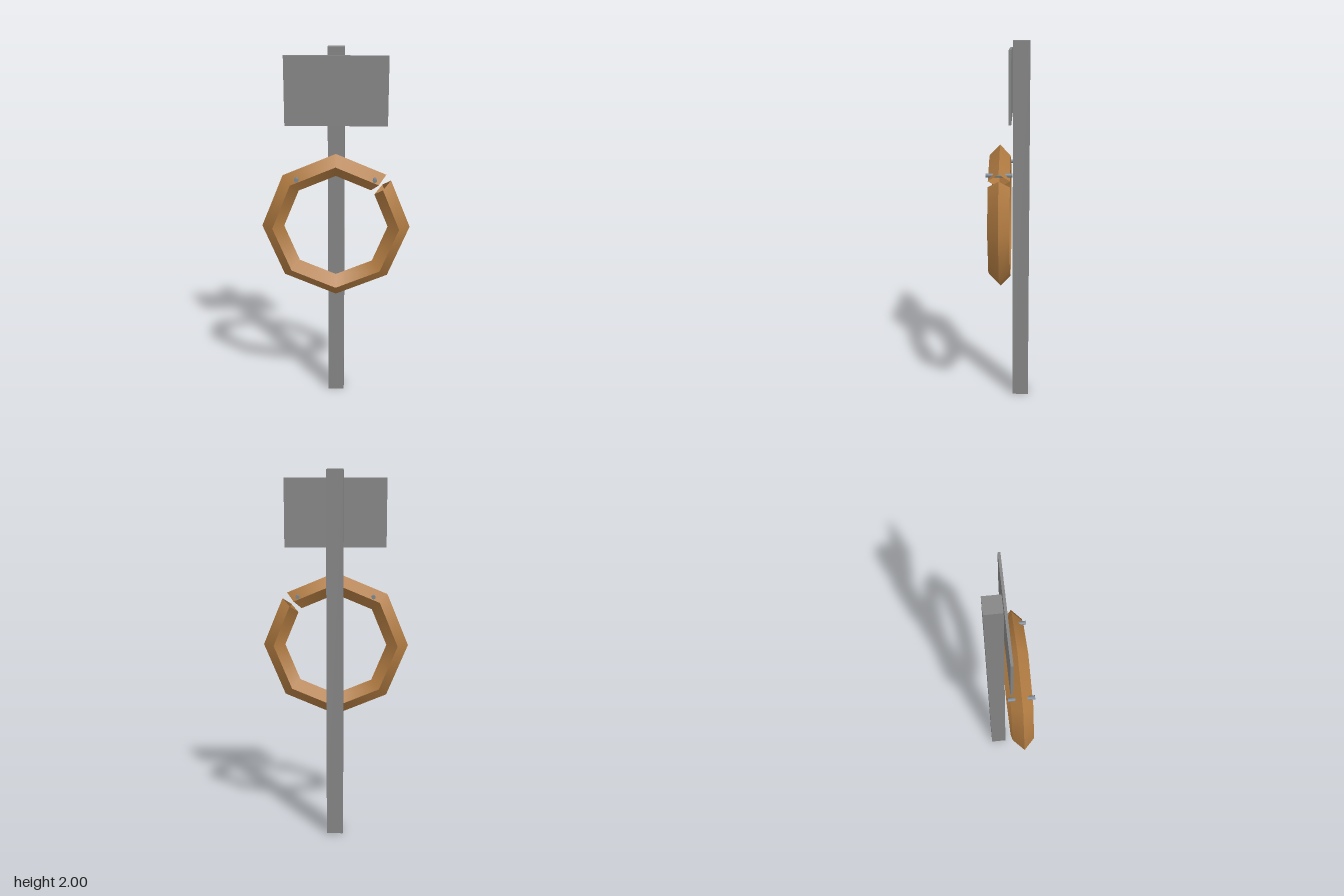
import * as THREE from 'three';

const wood = new THREE.MeshStandardMaterial({ color: 0xb27c42, side: THREE.DoubleSide });
wood.name = 'wood';
const grey = new THREE.MeshStandardMaterial({ color: 0x858585, side: THREE.DoubleSide });
grey.name = 'grey';
const steel = new THREE.MeshStandardMaterial({ color: 0x7c8791 });
steel.name = 'steel';

function add(parent, name, geometry, material, x, y, z) {
  const mesh = new THREE.Mesh(geometry, material);
  mesh.name = name;
  mesh.position.set(x, y, z);
  parent.add(mesh);
  return mesh;
}

// Eight-sided ring of diamond section, open at a narrow cut near 45 degrees.
// Normals are smooth along the ring and sharp at the four ridges.
function ringGeometry(radius, tube) {
  const step = Math.PI / 4;
  const angles = [THREE.MathUtils.degToRad(47.2)];
  for (let i = 2; i <= 8; i++) angles.push(i * step);
  angles.push(THREE.MathUtils.degToRad(360 + 41.3));

  const positions = [], normals = [], index = [];
  for (let s = 0; s < 4; s++) {
    const facing = (s + 0.5) * Math.PI / 2;
    const base = positions.length / 3;
    angles.forEach((a, i) => {
      // keep the cut ends on the straight sides of the octagon
      const off = a - (Math.floor(a / step + 1e-6) + 0.5) * step;
      const chord = Math.cos(step / 2) / Math.cos(off);
      for (const corner of [s, s + 1]) {
        const t = corner * Math.PI / 2;
        const r = (radius + tube * Math.cos(t)) * chord;
        positions.push(r * Math.cos(a), r * Math.sin(a), tube * 0.95 * Math.sin(t));
        normals.push(Math.cos(facing) * Math.cos(a), Math.cos(facing) * Math.sin(a), Math.sin(facing));
      }
      if (i > 0) {
        const p = base + (i - 1) * 2;
        index.push(p, p + 2, p + 1, p + 1, p + 2, p + 3);
      }
    });
  }
  const g = new THREE.BufferGeometry();
  g.setAttribute('position', new THREE.Float32BufferAttribute(positions, 3));
  g.setAttribute('normal', new THREE.Float32BufferAttribute(normals, 3));
  g.setIndex(index);
  return g;
}

export function createModel() {
  const model = new THREE.Group();
  model.name = 'hoopPost';

  // Square post without a bottom face
  const postGeometry = new THREE.BoxGeometry(0.09, 2, 0.09);
  const kept = Array.from(postGeometry.index.array).filter((v, i) => i < 18 || i >= 24);
  postGeometry.setIndex(kept);
  postGeometry.clearGroups();
  add(model, 'post', postGeometry, grey, 0, 1, -0.07);

  // Flat board at the top
  add(model, 'board', new THREE.BoxGeometry(0.548, 0.365, 0.013), grey, 0, 1.777, -0.0135);

  // Ring hanging in front of the post
  add(model, 'ring', ringGeometry(0.342, 0.06), wood, 0, 1.055, 0.044);

  // Pins through the upper sides of the ring
  for (const side of [-1, 1]) {
    const pin = new THREE.CylinderGeometry(0.011, 0.011, 0.138, 8).rotateX(Math.PI / 2);
    add(model, side > 0 ? 'leftPin' : 'rightPin', pin, steel, side * 0.207, 1.328, 0.044);
  }
  return model;
}
